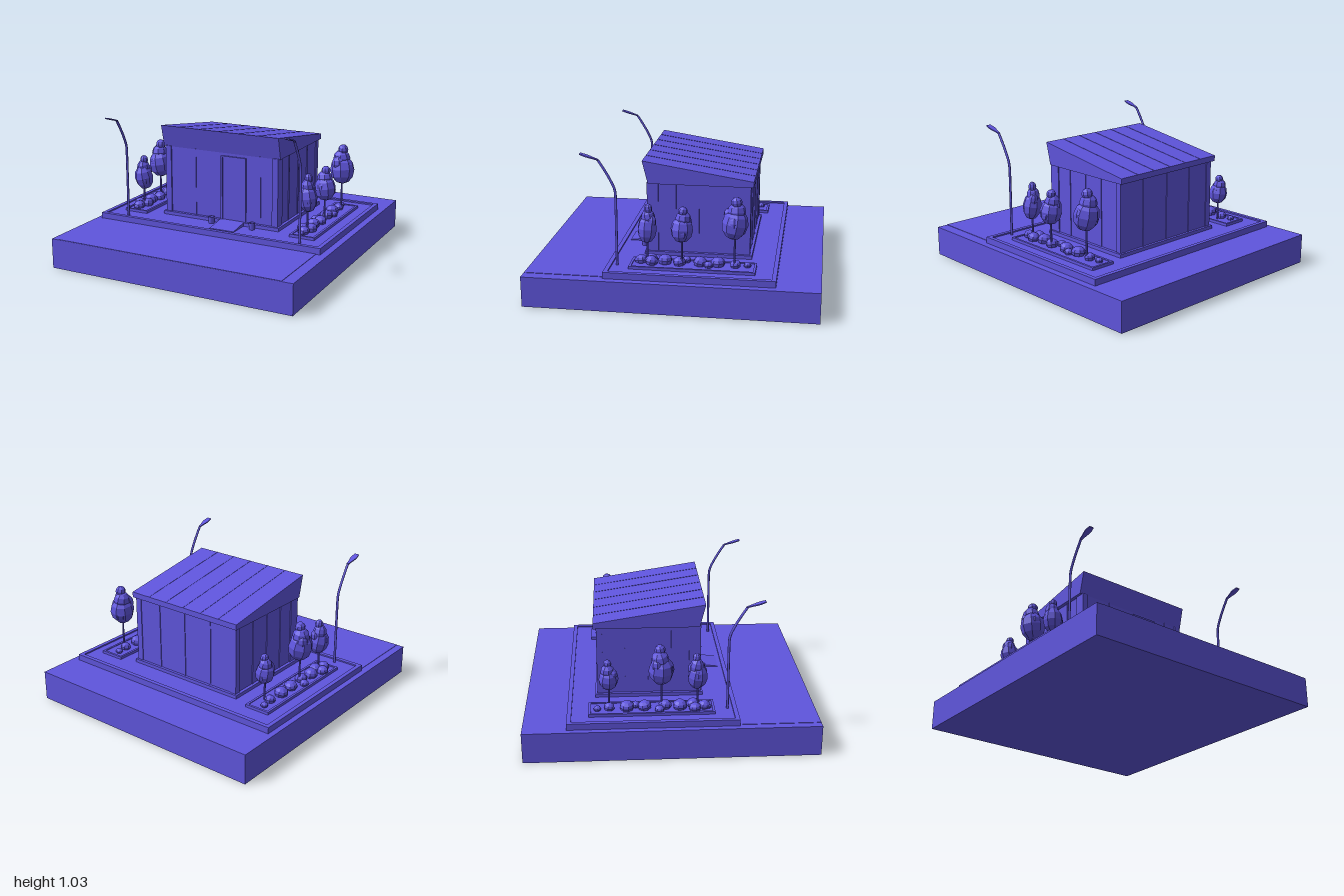
import * as THREE from 'three';

const mat = new THREE.MeshStandardMaterial({ color: 0x5f55dd, side: THREE.DoubleSide });
const flat = new THREE.MeshStandardMaterial({ color: 0x5f55dd, flatShading: true });

function add(parent, name, geo, material = mat) {
  const m = new THREE.Mesh(geo, material);
  m.name = name;
  parent.add(m);
  return m;
}

// box given by its extents
function slab(parent, name, x0, x1, y0, y1, z0, z1) {
  const m = add(parent, name, new THREE.BoxGeometry(x1 - x0, y1 - y0, z1 - z0));
  m.position.set((x0 + x1) / 2, (y0 + y1) / 2, (z0 + z1) / 2);
  return m;
}

// rectangular kerb ring lying flat
function ring(parent, name, x0, x1, y0, y1, z0, z1, w) {
  const rect = (P, d) => new P([[x0 + d, -z1 + d], [x1 - d, -z1 + d], [x1 - d, -z0 - d], [x0 + d, -z0 - d]]
    .map(([x, y]) => new THREE.Vector2(x, y)));
  const s = rect(THREE.Shape, 0);
  s.holes.push(rect(THREE.Path, w));
  const g = new THREE.ExtrudeGeometry(s, { depth: y1 - y0, bevelEnabled: false });
  g.rotateX(-Math.PI / 2).translate(0, y0, 0);
  return add(parent, name, g);
}

// side profile of [z, y] points extruded along x
function profileX(parent, name, pts, x0, x1) {
  const s = new THREE.Shape(pts.map(([z, y]) => new THREE.Vector2(-z, y)));
  const g = new THREE.ExtrudeGeometry(s, { depth: x1 - x0, bevelEnabled: false });
  g.rotateY(Math.PI / 2).translate(x0, 0, 0);
  return add(parent, name, g);
}

// low-poly leaf clump
function clump(parent, name, x, y, z, r, h, turn) {
  const m = add(parent, name, new THREE.SphereGeometry(1, 8, 6), flat);
  m.position.set(x, y, z);
  m.scale.set(r, h, r);
  m.rotation.set(0.15 * Math.sin(turn), turn, 0.15 * Math.cos(turn));
}

// tree: trunk and stacked clumps between bottom and top
function tree(parent, x, z, r, bottom, top) {
  const g = new THREE.Group();
  g.name = 'tree';
  const h = top - bottom;
  const trunk = add(g, 'trunk', new THREE.CylinderGeometry(0.006, 0.008, bottom - 0.22, 6), flat);
  trunk.position.set(x, (bottom + 0.3) / 2, z);
  clump(g, 'lowerFoliage', x, bottom + 0.36 * h, z, r, 0.36 * h, x * 9 + z);
  clump(g, 'middleFoliage', x - 0.1 * r, bottom + 0.64 * h, z - 0.1 * r, 0.7 * r, 0.22 * h, z * 7);
  clump(g, 'upperFoliage', x, bottom + 0.87 * h, z - 0.1 * r, 0.42 * r, 0.13 * h, z * 11);
  for (let i = 0; i < 3; i++) {
    const a = i * 2.1 + z * 5;
    clump(g, 'sideFoliage', x + 0.45 * r * Math.cos(a), bottom + (0.3 + 0.12 * i) * h,
      z + 0.45 * r * Math.sin(a), 0.52 * r, 0.18 * h, a);
  }
  parent.add(g);
}

// planting bed with kerb and a row of bushes: [x offset, z, radius]
const BUSHES = [[-0.02, -0.5, 0.026], [-0.01, -0.42, 0.038], [-0.015, -0.3, 0.05], [0.02, -0.24, 0.032],
  [-0.01, -0.18, 0.048], [-0.055, -0.08, 0.033], [0.0, -0.04, 0.045], [-0.015, 0.06, 0.05],
  [-0.05, 0.16, 0.042], [0.01, 0.15, 0.045], [-0.015, 0.225, 0.042], [-0.02, 0.25, 0.025]];

function garden(parent, cx) {
  const g = new THREE.Group();
  g.name = 'gardenBed';
  slab(g, 'soil', cx - 0.085, cx + 0.085, 0.24, 0.265, -0.55, 0.285);
  ring(g, 'bedKerb', cx - 0.093, cx + 0.093, 0.245, 0.27, -0.56, 0.295, 0.016);
  BUSHES.forEach(([dx, z, r], i) => clump(g, 'bush', cx + dx, 0.265 + r * 0.45, z, r, r * 0.8, i * 1.3));
  parent.add(g);
}

// street lamp with curved pole and flat leaf-shaped head
function lamp(parent, x) {
  const g = new THREE.Group();
  g.name = 'streetLamp';
  const V = (y, z) => new THREE.Vector3(0, y, z);
  const path = new THREE.CurvePath();
  path.add(new THREE.LineCurve3(V(0.25, 0.385), V(0.7, 0.385)));
  path.add(new THREE.CatmullRomCurve3([V(0.7, 0.385), V(0.78, 0.39), V(0.85, 0.42), V(0.92, 0.46), V(0.982, 0.5)]));
  add(g, 'lampPole', new THREE.TubeGeometry(path, 32, 0.009, 8));
  const head = new THREE.Shape([[-0.008, 0], [0.008, 0], [0.012, 0.03], [0.022, 0.075], [0.022, 0.095],
    [0.016, 0.128], [-0.016, 0.128], [-0.022, 0.095], [-0.022, 0.075], [-0.012, 0.03]]
    .map(p => new THREE.Vector2(...p)));
  const hg = new THREE.ExtrudeGeometry(head, { depth: 0.008, bevelEnabled: false });
  const m = add(g, 'lampHead', hg);
  m.rotation.x = Math.PI / 2 - 0.3;
  m.position.set(0, 0.988, 0.498);
  g.position.x = x;
  parent.add(g);
}

export function createModel() {
  const model = new THREE.Group();

  // ground block, road and raised pavement
  slab(model, 'groundBlock', -0.92, 0.92, 0, 0.215, -1, 1);
  slab(model, 'road', -0.865, 0.84, 0.2, 0.218, 0.44, 0.998);
  slab(model, 'pavement', -0.87, 0.86, 0.2, 0.25, -0.695, 0.44);
  ring(model, 'pavementKerb', -0.88, 0.87, 0.21, 0.26, -0.705, 0.45, 0.03);

  // building
  const house = new THREE.Group();
  house.name = 'building';
  model.add(house);
  slab(house, 'plinth', -0.47, 0.465, 0.245, 0.275, -0.515, 0.235);
  slab(house, 'walls', -0.447, 0.442, 0.26, 0.77, -0.495, 0.21);
  for (const [x0, x1] of [[-0.455, -0.41], [0.405, 0.45]]) {
    slab(house, 'frontCornerPost', x0, x1, 0.27, 0.77, 0.14, 0.22);
    slab(house, 'backCornerPost', x0, x1, 0.27, 0.77, -0.5, -0.46);
  }

  // cladding strips on every side
  for (const x of [-0.21, 0.31]) slab(house, 'frontStrip', x - 0.005, x + 0.005, 0.27, 0.77, 0.2, 0.215);
  for (const x of [-0.23, 0, 0.23]) slab(house, 'backStrip', x - 0.005, x + 0.005, 0.27, 0.77, -0.5, -0.49);
  for (const z of [-0.3, -0.14, 0.02]) {
    slab(house, 'leftStrip', 0.43, 0.447, 0.27, 0.77, z - 0.005, z + 0.005);
    slab(house, 'rightStrip', -0.452, -0.44, 0.27, 0.77, z - 0.005, z + 0.005);
  }

  // door with frame, ramp and two pots
  slab(house, 'door', 0.015, 0.185, 0.27, 0.735, 0.2, 0.216);
  slab(house, 'doorJamb', 0, 0.014, 0.26, 0.745, 0.2, 0.224);
  slab(house, 'doorJamb', 0.186, 0.2, 0.26, 0.745, 0.2, 0.224);
  slab(house, 'doorLintel', 0, 0.2, 0.733, 0.745, 0.2, 0.224);
  profileX(house, 'doorRamp', [[0.23, 0.245], [0.39, 0.245], [0.39, 0.254], [0.23, 0.276]], 0, 0.19);
  for (const x of [-0.05, 0.275]) {
    const pot = add(house, 'pot', new THREE.LatheGeometry(
      [[0, 0], [0.02, 0], [0.024, 0.05], [0.017, 0.05], [0.015, 0.035], [0, 0.035]]
        .map(p => new THREE.Vector2(...p)), 16), flat);
    pot.position.set(x, 0.25, 0.27);
  }

  // sloping roof with leaning front fascia and fine seams
  profileX(house, 'roof', [[0.21, 0.765], [0.25, 0.925], [-0.52, 0.805], [-0.52, 0.765]], -0.473, 0.463);
  for (let i = 1; i < 6; i++) {
    const x = -0.473 + i * 0.156;
    profileX(house, 'roofSeam', [[0.249, 0.92], [0.249, 0.927], [-0.519, 0.807], [-0.519, 0.8]], x - 0.003, x + 0.003);
  }

  // gardens and trees: x, z, radius, canopy bottom, canopy top
  garden(model, -0.677);
  garden(model, 0.668);
  for (const t of [[0.68, -0.415, 0.09, 0.47, 0.765], [0.69, -0.06, 0.078, 0.435, 0.685],
    [0.66, 0.18, 0.068, 0.41, 0.685], [-0.64, -0.42, 0.068, 0.39, 0.61],
    [-0.68, -0.065, 0.088, 0.44, 0.73], [-0.675, 0.18, 0.07, 0.4, 0.66]]) tree(model, ...t);

  lamp(model, -0.685);
  lamp(model, 0.692);
  return model;
}
